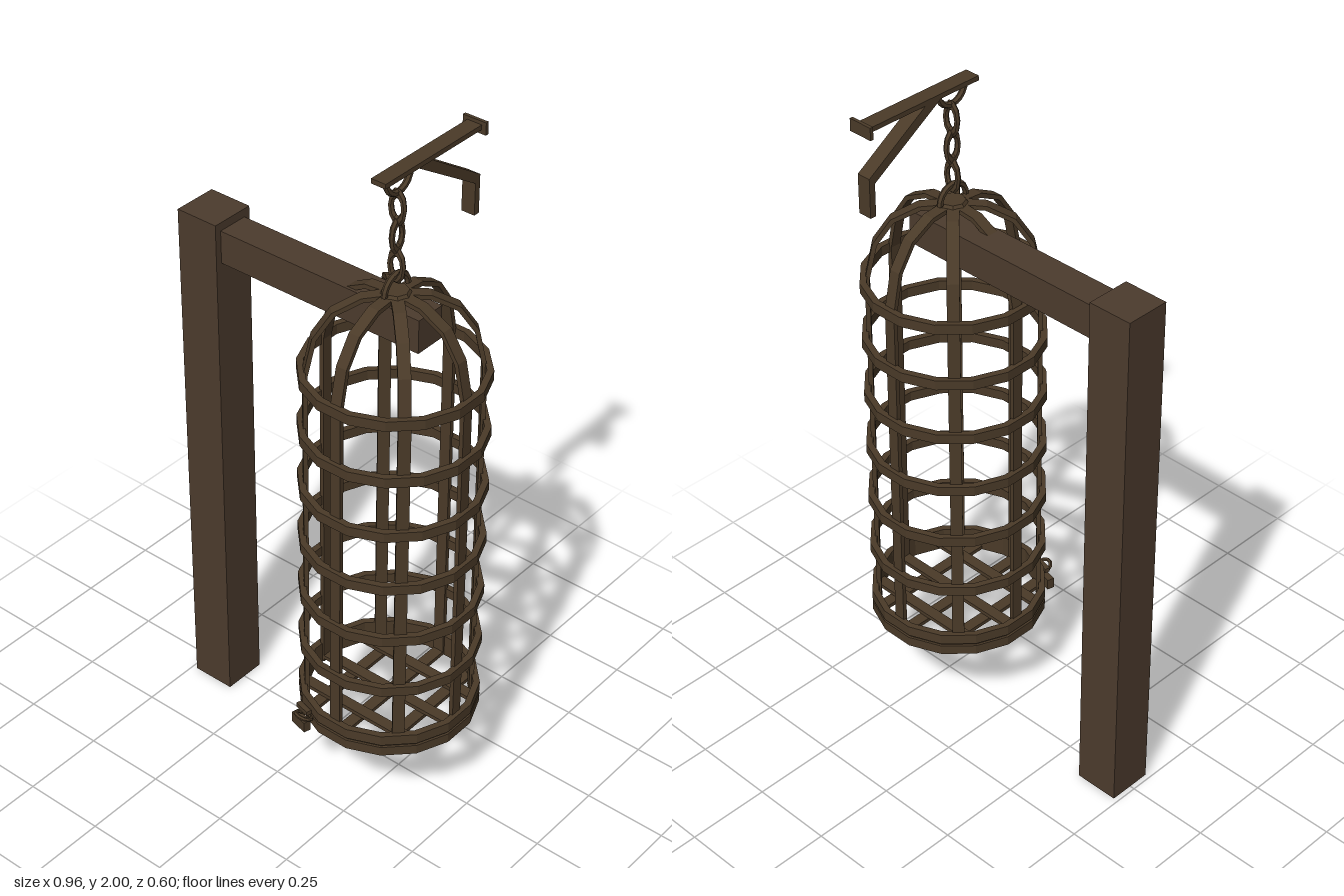
import * as THREE from 'three';

export function createModel() {
  const model = new THREE.Group();
  const wood = new THREE.MeshStandardMaterial({ color: 0x4c3b2d, flatShading: true });
  wood.name = 'dark wood';
  const iron = new THREE.MeshStandardMaterial({ color: 0x4a3a28, flatShading: true });
  iron.name = 'rusty iron';

  const add = (parent, name, geometry, material, x = 0, y = 0, z = 0) => {
    const mesh = new THREE.Mesh(geometry, material);
    mesh.name = name;
    mesh.position.set(x, y, z);
    parent.add(mesh);
    return mesh;
  };
  const box = (parent, name, material, w, h, d, x, y, z) =>
    add(parent, name, new THREE.BoxGeometry(w, h, d), material, x, y, z);
  // Extrude a flat outline, centred on its depth
  const slab = (points, depth) => {
    const shape = new THREE.Shape(points.map(([a, b]) => new THREE.Vector2(a, b)));
    return new THREE.ExtrudeGeometry(shape, { depth, bevelEnabled: false }).translate(0, 0, -depth / 2);
  };

  // Gallows
  box(model, 'post', wood, 0.135, 1.625, 0.135, -0.4175, 0.8125, -0.002);
  box(model, 'beam', wood, 0.67, 0.1, 0.095, -0.015, 1.55, -0.002);

  // Everything iron hangs on the cage axis
  const cage = new THREE.Group();
  cage.name = 'cage';
  cage.position.set(0.225, 0, 0.02);
  model.add(cage);

  // Hoops: sixteen-sided flat bands
  const hoop = (name, y, h, inner = 0.238, outer = 0.257) => {
    const profile = [[outer, 0], [outer, h], [inner, h], [inner, 0], [outer, 0]]
      .map(([r, v]) => new THREE.Vector2(r, v - h / 2));
    add(cage, name, new THREE.LatheGeometry(profile, 16, Math.PI / 16), iron, 0, y, 0);
  };
  for (let i = 0; i < 6; i++) hoop('hoop', 0.508 + i * 0.178, 0.03);
  hoop('baseHoop', 0.29, 0.03);
  hoop('baseHoop', 0.329, 0.032);
  hoop('baseSeam', 0.309, 0.012, 0.238, 0.25);

  // Upright bars, bent inward to the crown
  const bar = slab([
    [0.24, 0.28], [0.24, 1.4], [0.216, 1.515], [0.166, 1.59], [0.09, 1.63], [0, 1.638],
    [0, 1.625], [0.086, 1.617], [0.157, 1.58], [0.204, 1.51], [0.227, 1.4], [0.227, 0.28],
  ], 0.034);
  for (let i = 0; i < 8; i++) add(cage, 'bar', bar, iron).rotation.y = i * Math.PI / 4;
  add(cage, 'crown', new THREE.CylinderGeometry(0.035, 0.045, 0.014, 8), iron, 0, 1.636, 0);

  // Floor lattice
  for (const offset of [-0.125, 0, 0.125]) {
    const length = 2 * Math.sqrt(0.24 ** 2 - offset ** 2);
    box(cage, 'floorSlat', iron, length, 0.012, 0.034, 0, 0.296, offset);
    box(cage, 'floorSlat', iron, 0.034, 0.012, length, offset, 0.284, 0);
  }

  // Chain: half rings at both ends, alternating links between
  const halfRing = new THREE.TorusGeometry(0.048, 0.009, 6, 10, Math.PI);
  add(cage, 'cageEye', halfRing, iron, 0, 1.642, 0).rotation.y = Math.PI / 2;
  add(cage, 'bracketEye', halfRing, iron, 0, 1.975, 0).rotation.set(Math.PI, Math.PI / 2, 0);
  const link = new THREE.TorusGeometry(0.021, 0.008, 6, 10);
  link.scale(1, 1.9, 1);
  [1.715, 1.803, 1.885].forEach((y, i) => {
    add(cage, 'chainLink', link, iron, 0, y, 0).rotation.y = i % 2 ? Math.PI / 2 : 0;
  });

  // Wall bracket above the chain
  const bracket = new THREE.Group();
  bracket.name = 'bracket';
  bracket.position.x = 0.223;
  model.add(bracket);
  box(bracket, 'bracketArm', iron, 0.046, 0.014, 0.39, 0, 1.983, -0.1);
  box(bracket, 'wallPlate', iron, 0.074, 0.036, 0.01, 0, 1.982, -0.294);
  const strut = slab([
    [-0.03, 1.98], [-0.275, 1.825], [-0.275, 1.73], [-0.294, 1.73], [-0.294, 1.845], [-0.085, 1.98],
  ], 0.042);
  add(bracket, 'bracketStrut', strut, iron).rotation.y = -Math.PI / 2;

  // Padlock on the base hoop
  const lock = new THREE.Group();
  lock.name = 'padlock';
  lock.position.set(0.105, 0.272, 0.264);
  lock.rotation.y = -0.25;
  model.add(lock);
  box(lock, 'lockBody', iron, 0.06, 0.034, 0.022, 0, 0, 0);
  add(lock, 'shackle', new THREE.TorusGeometry(0.023, 0.006, 6, 10), iron, 0.018, 0.035, 0.004).rotation.x = 1.1;
  box(lock, 'hasp', iron, 0.05, 0.014, 0.016, 0.005, 0.047, -0.006);

  return model;
}
